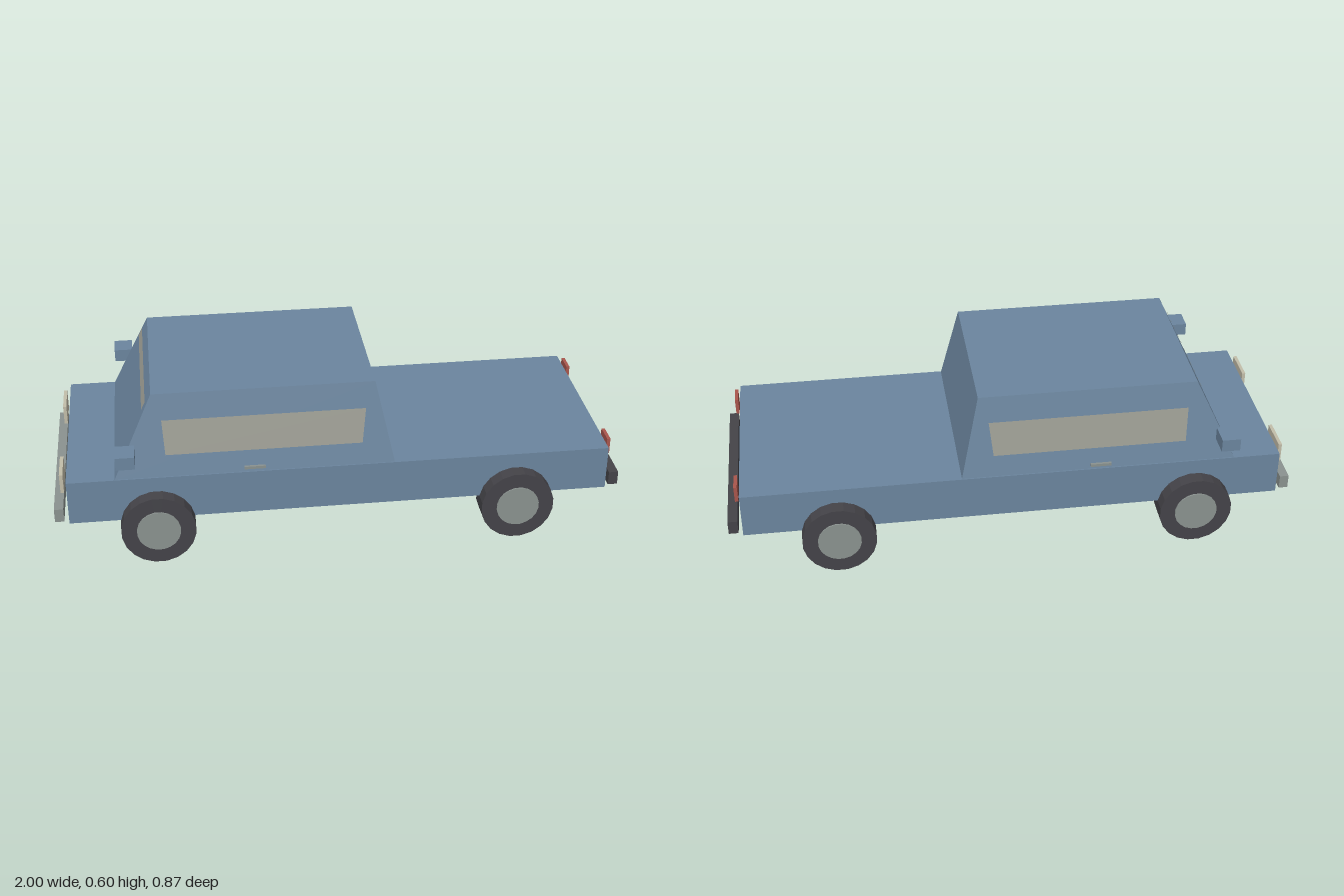
import * as THREE from 'three';

const mat = (name, color) => new THREE.MeshStandardMaterial({ name, color });

export function createModel() {
  const paint = mat('blue paint', 0x6b859e);
  const rubber = mat('dark rubber', 0x444348);
  const metal = mat('grey metal', 0x8a928f);
  const glass = mat('window glass', 0x9a9b91);
  const lamp = mat('headlight cream', 0xc2bda9);
  const red = mat('tail light red', 0xa9564c);
  glass.side = THREE.DoubleSide;

  const model = new THREE.Group();
  model.name = 'pickup';
  const add = (name, geometry, material) => {
    const mesh = new THREE.Mesh(geometry, material);
    mesh.name = name;
    model.add(mesh);
    return mesh;
  };

  // Box given by its limits on each axis
  const box = (name, material, [x0, x1], [y0, y1], [z0, z1]) =>
    add(name, new THREE.BoxGeometry(x1 - x0, y1 - y0, z1 - z0), material)
      .position.set((x0 + x1) / 2, (y0 + y1) / 2, (z0 + z1) / 2);

  // Flat four-cornered plate
  const plate = (name, corners) => {
    const g = new THREE.BufferGeometry();
    g.setAttribute('position', new THREE.Float32BufferAttribute(corners.flat(), 3));
    g.setIndex([0, 1, 2, 0, 2, 3]);
    g.computeVertexNormals();
    add(name, g, glass);
  };

  // Lower body, with the bonnet towards -x
  box('body', paint, [-0.95, 0.95], [0.15, 0.312], [-0.357, 0.357]);

  // Cabin: a box whose top is drawn in
  const cabin = new THREE.BoxGeometry(1, 1, 1).toNonIndexed();
  const p = cabin.attributes.position;
  for (let i = 0; i < p.count; i++) {
    const top = p.getY(i) > 0;
    const x = p.getX(i) < 0 ? (top ? -0.645 : -0.785) : (top ? 0.12 : 0.185);
    p.setXYZ(i, x, top ? 0.605 : 0.31, Math.sign(p.getZ(i)) * (top ? 0.297 : 0.353));
  }
  cabin.computeVertexNormals();
  add('cabin', cabin, paint);

  // Glass follows the slope of the cabin walls
  const sideZ = (y) => 0.356 - 0.056 * (y - 0.31) / 0.295;
  const frontX = (y) => -0.789 + 0.14 * (y - 0.31) / 0.295;
  plate('windscreen', [[0.541, -1], [0.541, 1], [0.57, 1], [0.57, -1]]
    .map(([y, s]) => [frontX(y), y, s * 0.285]));

  for (const s of [1, -1]) {
    const side = s > 0 ? 'left' : 'right';
    const span = (a, b) => (s > 0 ? [a, b] : [-b, -a]);
    const corners = [[-0.607, 0.39], [0.072, 0.39], [0.086, 0.513], [-0.614, 0.513]]
      .map(([x, y]) => [x, y, s * sideZ(y)]);
    plate(side + 'Window', s > 0 ? corners : corners.reverse());

    box(side + 'Mirror', paint, [-0.775, -0.71], [0.4, 0.446], span(0.357, 0.437));
    box(side + 'DoorHandle', metal, [-0.34, -0.267], [0.328, 0.338], span(0.357, 0.366));
    box(side + 'Headlight', lamp, [-0.974, -0.962], [0.243, 0.315], span(0.178, 0.305));
    box(side + 'TailLight', red, [0.956, 0.968], [0.265, 0.324], span(0.24, 0.314));

    // Wheels, turned so that a flat of the tyre rests on the ground
    for (const [x, place] of [[-0.645, 'Front'], [0.62, 'Rear']]) {
      const disc = (name, radius, z0, z1, material) => {
        const g = new THREE.CylinderGeometry(radius, radius, z1 - z0, 20).toNonIndexed();
        g.rotateY(Math.PI / 20).rotateX(Math.PI / 2);
        g.computeVertexNormals();
        add(side + place + name, g, material).position.set(x, 0.1285, s * (z0 + z1) / 2);
      };
      disc('Tyre', 0.13, 0.313, 0.407, rubber);
      disc('Hub', 0.076, 0.33, 0.412, metal);
    }
  }

  box('frontBumper', metal, [-1, -0.968], [0.15, 0.2], [-0.342, 0.342]);
  box('rearBumper', rubber, [0.966, 1], [0.15, 0.2], [-0.342, 0.342]);

  return model;
}
